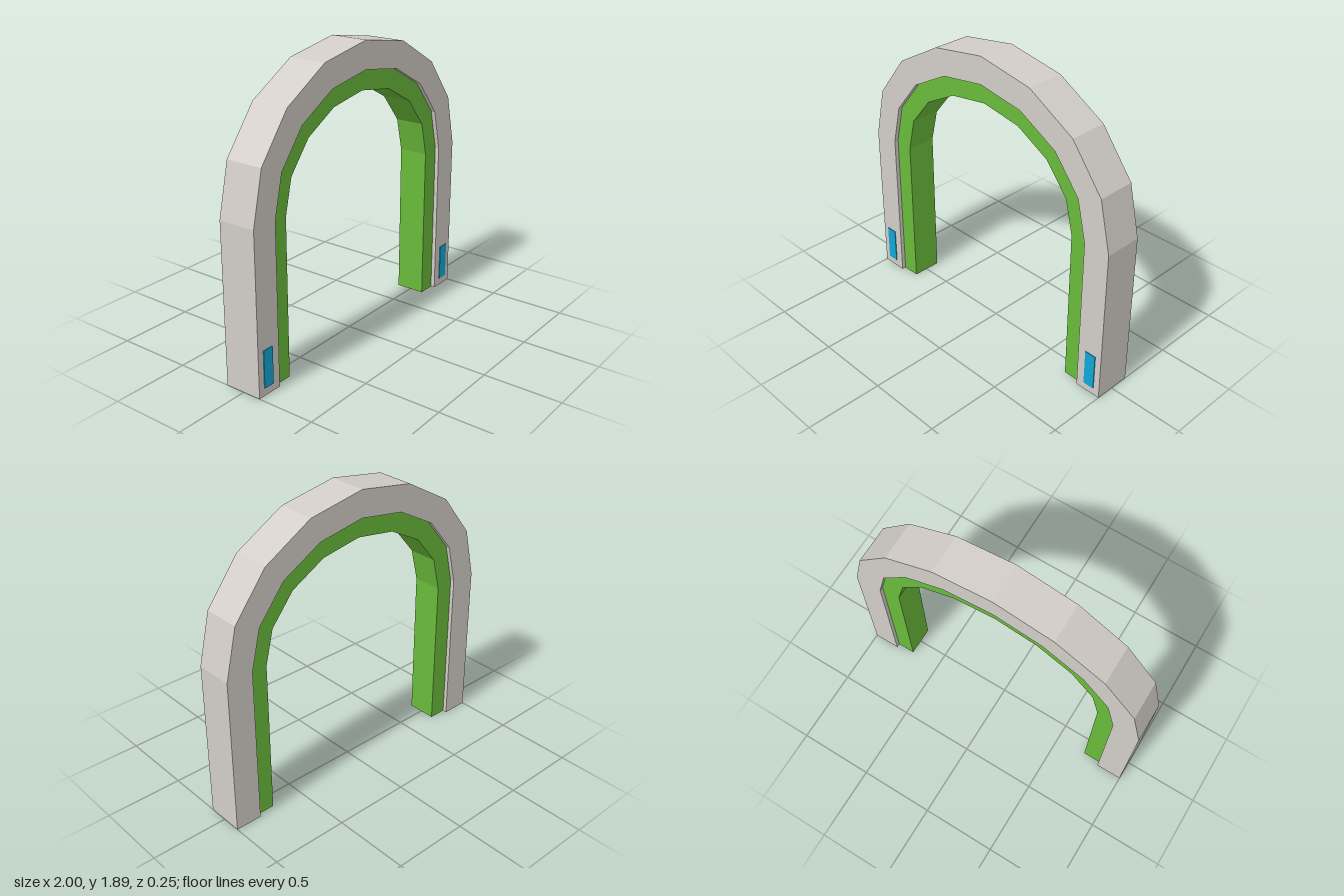
import * as THREE from 'three';

const SEGMENTS = 8;

// Half-ellipse from right to left: [x, y] points on springing height cy
function archLine(rx, ry, cy) {
  const points = [];
  for (let i = 0; i <= SEGMENTS; i++) {
    const a = (i / SEGMENTS) * Math.PI;
    points.push(new THREE.Vector2(rx * Math.cos(a), cy + ry * Math.sin(a)));
  }
  return [new THREE.Vector2(rx, 0), ...points, new THREE.Vector2(-rx, 0)];
}

// Solid arch between two lines, spanning z0 to z1
function archBand(name, outer, inner, z0, z1, material) {
  const shape = new THREE.Shape([...outer, ...inner.slice().reverse()]);
  const geometry = new THREE.ExtrudeGeometry(shape, { depth: z1 - z0, bevelEnabled: false });
  geometry.translate(0, 0, z0);
  const mesh = new THREE.Mesh(geometry, material);
  mesh.name = name;
  return mesh;
}

export function createModel() {
  const stone = new THREE.MeshStandardMaterial({ name: 'warm grey', color: 0xd2cdc7 });
  const green = new THREE.MeshStandardMaterial({ name: 'leaf green', color: 0x69ba3a });
  const blue = new THREE.MeshStandardMaterial({ name: 'panel blue', color: 0x10a7d6 });

  const group = new THREE.Group();
  group.name = 'archway';

  const outer = archLine(1, 0.86, 1.03);
  const middle = archLine(0.826, 0.685, 1.03);
  const inner = archLine(0.707, 0.577, 1.01);

  // Outer frame and the narrower lining set inside it
  group.add(archBand('outerArch', outer, middle, -0.127, 0.122, stone));
  group.add(archBand('innerLining', middle, inner, -0.1, 0.095, green));

  // Thin panels on the front of both legs
  for (const side of [-1, 1]) {
    const panel = new THREE.Mesh(new THREE.BoxGeometry(0.075, 0.24, 0.007), blue);
    panel.name = side > 0 ? 'leftPanel' : 'rightPanel';
    panel.position.set(side * 0.92, 0.17, 0.1235);
    group.add(panel);
  }
  return group;
}
